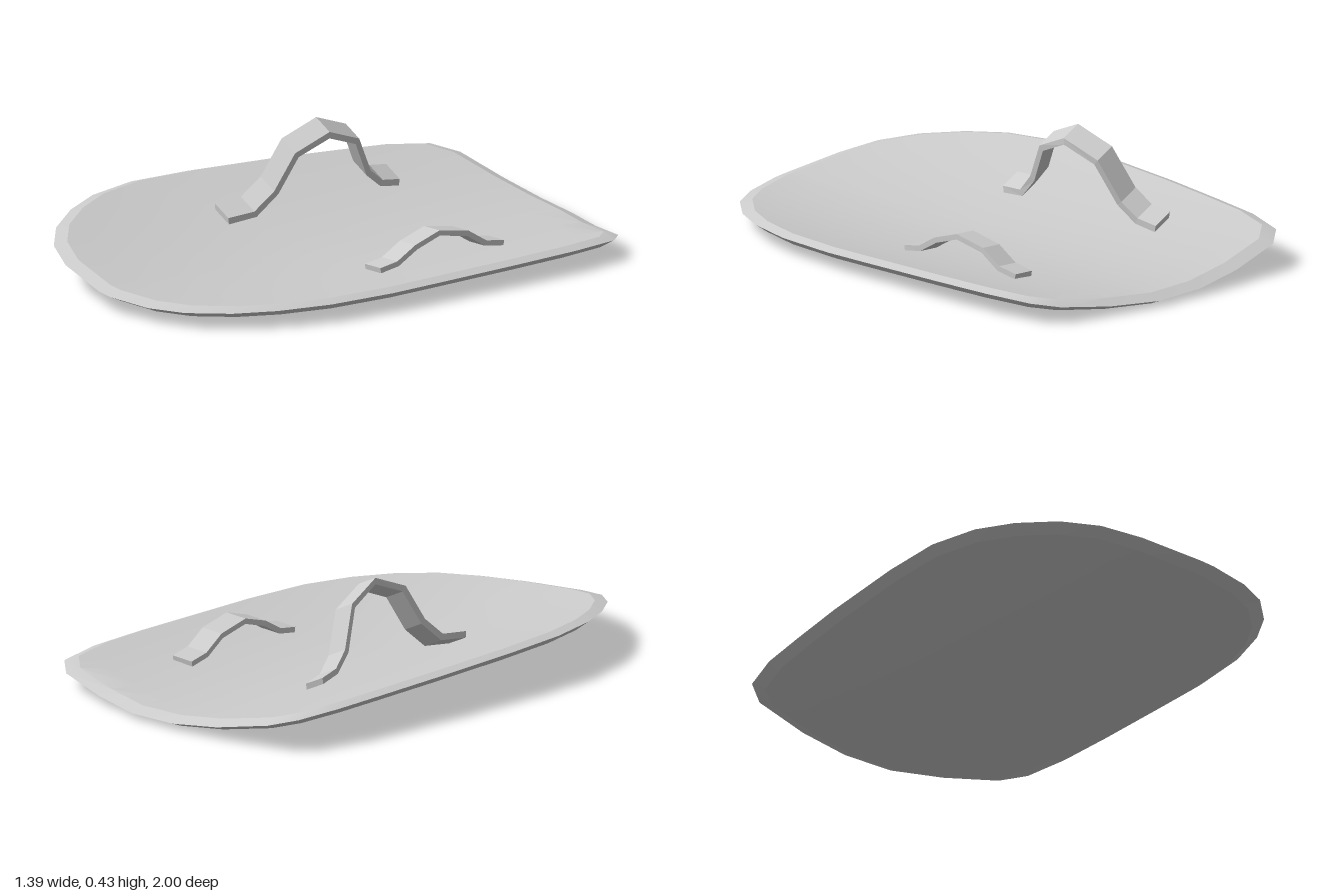
import * as THREE from 'three';
import { toCreasedNormals } from 'three/addons/utils/BufferGeometryUtils.js';

// Skin a stack of closed rings and close both ends at their centroids.
function loft(rings) {
  const n = rings[0].length;
  const centre = (ring) => ring.reduce((s, p) => s.add(p), new THREE.Vector3()).divideScalar(n);
  const pos = [];
  const tri = (...pts) => pts.forEach((p) => pos.push(p.x, p.y, p.z));
  const first = rings[0], last = rings[rings.length - 1];
  const start = centre(first), end = centre(last);
  for (let i = 0; i < n; i++) {
    const k = (i + 1) % n;
    tri(first[i], start, first[k]);
    for (let j = 0; j < rings.length - 1; j++) {
      const a = rings[j], b = rings[j + 1];
      tri(b[i], a[i], b[k]);
      tri(b[k], a[i], a[k]);
    }
    tri(end, last[i], last[k]);
  }
  const g = new THREE.BufferGeometry();
  g.setAttribute('position', new THREE.Float32BufferAttribute(pos, 3));
  g.computeVertexNormals();
  return g;
}

// Plan outline of the plate as [x, z], clockwise from the back edge.
const OUTLINE = [
  [0, -1], [0.2, -0.985], [0.4, -0.93], [0.6, -0.87], [0.675, -0.79], [0.695, -0.6],
  [0.685, -0.35], [0.66, 0], [0.645, 0.2], [0.605, 0.45], [0.535, 0.64], [0.45, 0.78],
  [0.33, 0.9], [0.2, 0.965], [0.03, 1], [-0.03, 1], [-0.27, 0.96], [-0.41, 0.9],
  [-0.52, 0.8], [-0.61, 0.66], [-0.67, 0.51], [-0.7, 0.31], [-0.685, 0.06],
  [-0.64, -0.3], [-0.6, -0.55], [-0.565, -0.75], [-0.51, -0.91], [-0.42, -0.975], [-0.2, -0.995],
];

// Underside height: bowed across x, rising toward the rounded front.
function underside(x, z) {
  const d = Math.abs(x - 0.15);
  const bow = x > 0.15 ? 0.2 * d * d : 0.29 * d * d - 0.09 * d ** 3;
  const lift = 0.04 * Math.max(0, (z - 0.1) / 0.9) ** 2;
  return 0.003 + bow + lift;
}

function plateGeometry() {
  // [scale of outline, height above underside]: top face, bevelled rim, bottom face
  const inner = [0.1, 0.3, 0.5, 0.7, 0.85, 0.95];
  const steps = [
    ...inner.map((s) => [s, 0.04]),
    [1, 0.02],
    ...inner.slice().reverse().map((s) => [s, 0]),
  ];
  const rings = steps.map(([s, h]) =>
    OUTLINE.map(([x, z]) => new THREE.Vector3(x * s, underside(x * s, z * s) + h, z * s)));
  return toCreasedNormals(loft(rings), 0.35);
}

// Rectangular band swept along [x, y, z] points running front to back.
function strapGeometry(path, width, thickness, tilt) {
  const pts = path.map((p) => new THREE.Vector3(...p));
  const half = new THREE.Vector3(Math.cos(tilt), Math.sin(tilt), 0).multiplyScalar(width / 2);
  const rings = pts.map((p, i) => {
    const dir = pts[Math.min(i + 1, pts.length - 1)].clone().sub(pts[Math.max(i - 1, 0)]);
    const up = new THREE.Vector3(0, -dir.z, dir.y).normalize().multiplyScalar(thickness / 2);
    return [[-1, 1], [1, 1], [1, -1], [-1, -1]].map(([a, b]) =>
      p.clone().addScaledVector(half, a).addScaledVector(up, b));
  });
  return loft(rings);
}

export function createModel() {
  const group = new THREE.Group();
  const add = (name, geometry, flatShading) => {
    const mesh = new THREE.Mesh(geometry, new THREE.MeshStandardMaterial({ color: 0xcccccc, flatShading }));
    mesh.name = name;
    group.add(mesh);
  };

  add('shieldPlate', plateGeometry(), false);

  // tall arm loop
  add('armStrap', strapGeometry([
    [-0.328, 0.127, 0.195], [-0.305, 0.138, 0.09], [-0.28, 0.21, 0.015], [-0.25, 0.343, -0.055],
    [-0.225, 0.398, -0.185], [-0.24, 0.343, -0.325], [-0.275, 0.2, -0.405],
    [-0.288, 0.145, -0.475], [-0.293, 0.13, -0.56],
  ], 0.085, 0.024, -0.45), true);

  // low hand grip
  add('handGrip', strapGeometry([
    [0.353, 0.063, 0.055], [0.358, 0.075, -0.02], [0.363, 0.122, -0.1], [0.366, 0.155, -0.205],
    [0.37, 0.13, -0.33], [0.373, 0.078, -0.41], [0.375, 0.063, -0.492],
  ], 0.088, 0.02, 0.06), true);

  return group;
}
